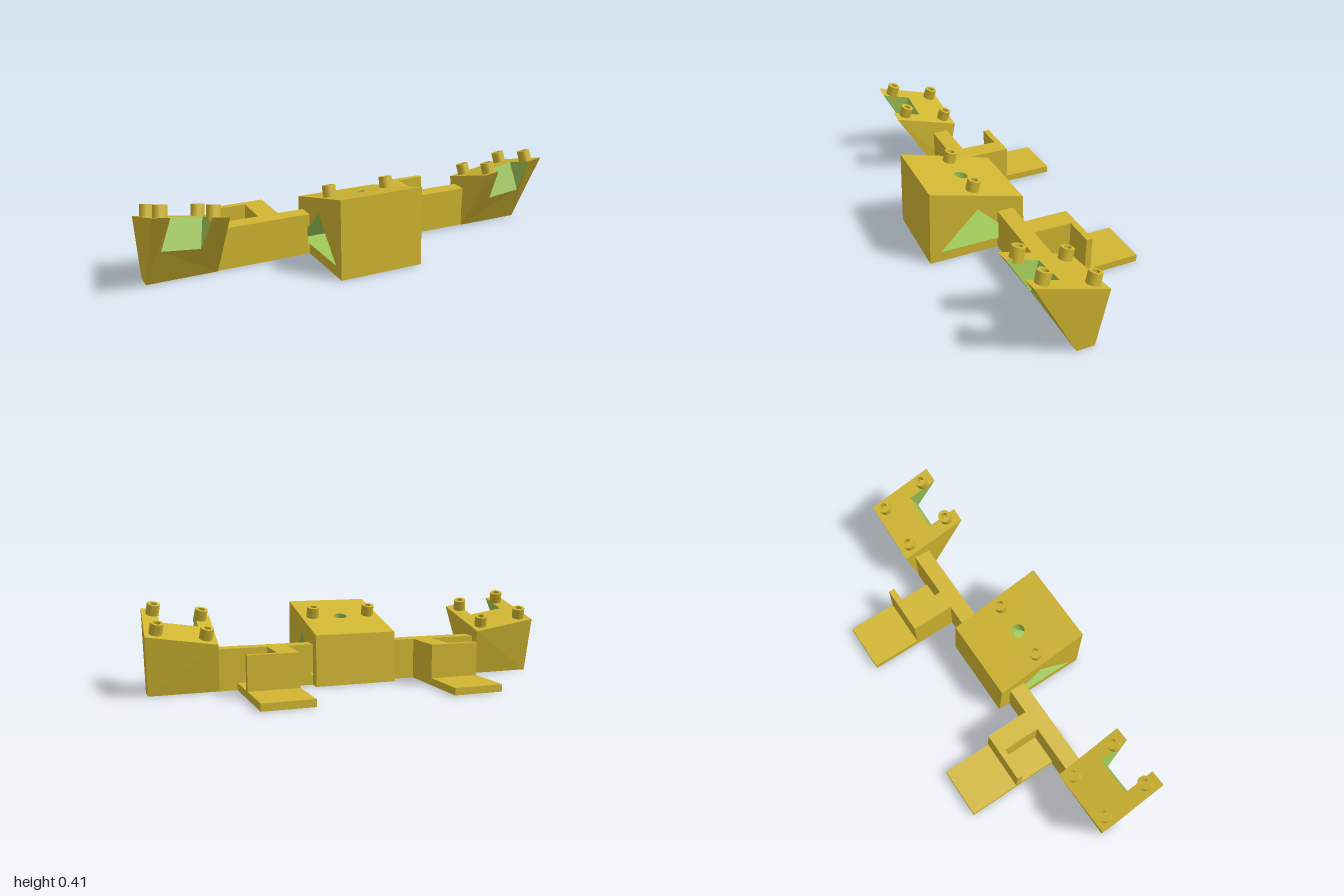
import * as THREE from 'three';
import { toCreasedNormals } from 'three/addons/utils/BufferGeometryUtils.js';

const gold = new THREE.MeshStandardMaterial({ color: 0xd1b631, side: THREE.DoubleSide });
gold.name = 'gold';
const green = new THREE.MeshStandardMaterial({ color: 0xa1cb5a, side: THREE.DoubleSide });
green.name = 'cut green';

const V = (x, y, z) => new THREE.Vector3(x, y, z);
const S = Math.sin(Math.PI / 12), C = Math.cos(Math.PI / 12); // 15 degree slope
const W = 0.205; // half width of the centre block

function mesh(name, geometry, material) {
  const m = new THREE.Mesh(geometry, material);
  m.name = name;
  return m;
}

function box(name, x0, x1, y0, y1, z0, z1) {
  const m = mesh(name, new THREE.BoxGeometry(x1 - x0, y1 - y0, z1 - z0), gold);
  m.position.set((x0 + x1) / 2, (y0 + y1) / 2, (z0 + z1) / 2);
  return m;
}

// flat outline [[a, b], ...] with optional holes
function outline(points, holes = []) {
  const shape = new THREE.Shape(points.map(([a, b]) => new THREE.Vector2(a, b)));
  shape.holes.push(...holes);
  return shape;
}
const rect = (w, b0, b1) => [[-w, b0], [w, b0], [w, b1], [-w, b1]];
const circle = (a, b, r) => new THREE.Path().absarc(a, b, r, 0, Math.PI * 2, true);

// place a flat shape in space along the directions u and v
function panel(name, shape, material, origin, u, v) {
  const g = new THREE.ShapeGeometry(shape, 16);
  const basis = new THREE.Matrix4().makeBasis(u, v, u.clone().cross(v)).setPosition(origin);
  return mesh(name, g.applyMatrix4(basis), material);
}

// flat-shaded faces from corner loops
function faces(name, loops, material) {
  const pos = [];
  for (const l of loops)
    for (let i = 1; i < l.length - 1; i++)
      for (const p of [l[0], l[i], l[i + 1]]) pos.push(p.x, p.y, p.z);
  const g = new THREE.BufferGeometry();
  g.setAttribute('position', new THREE.Float32BufferAttribute(pos, 3));
  g.computeVertexNormals();
  return mesh(name, g, material);
}

// hollow locating peg standing along a normal
function peg(base, normal) {
  const profile = [[0.031, -0.015], [0.031, 0.053], [0.017, 0.053], [0.017, 0.003], [0, 0.003]];
  const g = new THREE.LatheGeometry(profile.map(([r, y]) => new THREE.Vector2(r, y)), 24);
  const m = mesh('peg', toCreasedNormals(g, 0.7), gold);
  m.position.copy(base);
  m.quaternion.setFromUnitVectors(V(0, 1, 0), normal);
  return m;
}

function centreBlock() {
  const g = new THREE.Group();
  g.name = 'centreBlock';
  const X = V(1, 0, 0), Xm = V(-1, 0, 0), Y = V(0, 1, 0), Z = V(0, 0, 1);

  // outer skin: sides with a triangular tunnel opening
  const profile = [[0.443, 0], [0.43, 0.373], [-0.03, 0.25], [-0.04, 0]];
  const tri = [[0.387, 0.05], [0.2, 0.238], [0.012, 0.05]];
  const side = outline(profile, [new THREE.Path(tri.map(([a, b]) => new THREE.Vector2(a, b)))]);
  g.add(panel('blockSide', side, gold, V(-W, 0, 0), Z, Y));
  g.add(panel('blockSide', side, gold, V(W, 0, 0), Z, Y));
  const q = (i, x) => V(x, profile[i][1], profile[i][0]);
  g.add(faces('blockEnds', [
    [q(0, -W), q(0, W), q(1, W), q(1, -W)],
    [q(3, W), q(3, -W), q(2, -W), q(2, W)]], gold));

  // sloping top with the bore opening
  const slope = V(0, S, C), topBack = V(0, 0.25, -0.03), r = 0.033, bs = 0.238;
  const up = V(0, C, -S);
  g.add(panel('blockTop', outline(rect(W, 0, 0.46 / C), [circle(0, bs, r)]), gold, topBack, Xm, slope));
  for (const x of [-0.148, 0.148]) g.add(peg(topBack.clone().addScaledVector(slope, 0.243).setX(x), up));

  // bottom and tunnel floor with four screw holes
  const screws = [];
  for (const x of [-0.047, 0.047]) for (const z of [0.035, 0.365]) screws.push([x, z]);
  const holes = () => screws.map(([x, z]) => circle(x, z, 0.013));
  g.add(panel('blockBottom', outline(rect(W, -0.04, 0.443), holes()), gold, V(0, 0, 0), X, Z));
  g.add(panel('tunnelFloor', outline(rect(W, 0.012, 0.387), holes()), green, V(0, 0.05, 0), Xm, Z));
  for (const [x, z] of screws) {
    const t = mesh('screwHole', new THREE.CylinderGeometry(0.013, 0.013, 0.05, 16, 1, true), green);
    t.position.set(x, 0.025, z);
    g.add(t);
  }

  // bore drilled square to the top until it meets the tunnel roof
  const N = 32;
  const drill = (a) => {
    const top = topBack.clone().addScaledVector(slope, bs + r * Math.sin(a)).setX(r * Math.cos(a));
    const t1 = (top.y + top.z - 0.438) / (C - S), t2 = (top.y - top.z - 0.038) / (C + S);
    return { top, end: top.clone().addScaledVector(up, -Math.max(t1, t2)), front: t1 >= t2 };
  };
  const ring = (start) => Array.from({ length: N + 1 }, (_, i) => drill(start + (i / N) * Math.PI * 2));
  const bore = ring(0);
  g.add(faces('bore', bore.slice(1).map((b, i) => [bore[i].top, b.top, b.end, bore[i].end]), green));

  // tunnel roof, two slopes notched by the bore
  const k = Math.SQRT2, L = 0.188 * k;
  for (const sgn of [1, -1]) {
    const notch = ring(-sgn * Math.PI / 2).filter((p) => p.front === (sgn > 0))
      .map((p) => [p.end.x, Math.max(0, sgn * (p.end.z - 0.2) * k)]);
    if (sgn < 0) notch.reverse();
    const roof = outline([[W, 0], ...notch, [-W, 0], [-W, L], [W, L]]);
    g.add(panel('tunnelRoof', roof, green, V(0, 0.238, 0.2), sgn > 0 ? X : Xm, V(0, -1 / k, sgn / k)));
  }
  return g;
}

function bracket() {
  const g = new THREE.Group();
  g.name = 'bracket';
  // tilted top plane
  const top = (x, z) => V(x, 0.378 + (x - 0.985) * 0.152 + (z - 0.302) * 0.306, z);
  const normal = V(-0.152, 1, -0.306).normalize();
  // corners: b = bottom, i/o = inner/outer, f/r = front/rear
  const bir = V(0.665, 0, 0.02), bor = V(0.992, 0, 0.02);
  const bof = V(0.992, 0, 0.105), bif = V(0.665, 0, 0.105);
  const ir = top(0.673, -0.03), or = top(1, -0.028), of = top(0.985, 0.302), inf = top(0.657, 0.302);
  // notch: rear and front corners on top, lower corners on the front face
  const nri = top(0.735, 0.155), nro = top(0.915, 0.155), nfi = top(0.728, 0.302), nfo = top(0.908, 0.302);
  const nbi = V(0.762, 0.165, 0.2), nbo = V(0.935, 0.185, 0.203);
  g.add(faces('bracketBody', [
    [inf, nfi, nri, ir], [nri, nro, or, ir], [nfo, of, or, nro],
    [bif, nbi, nfi, inf], [bif, bof, nbo, nbi], [bof, of, nfo, nbo],
    [bof, bor, or, of], [bir, bif, inf, ir], [bor, bir, ir, or], [bir, bor, bof, bif]], gold));
  g.add(faces('bracketNotch', [[nbi, nbo, nro, nri], [nfi, nbi, nri], [nfo, nro, nbo]], green));
  for (const [x, z] of [[0.948, 0.025], [0.722, 0.025], [0.938, 0.245], [0.712, 0.245]])
    g.add(peg(top(x, z), normal));
  return g;
}

// one half: wing, foot and end bracket
function half() {
  const g = new THREE.Group();
  g.name = 'sideArm';
  g.add(box('wing', 0.215, 0.68, 0, 0.2, 0.02, 0.1));
  // wing root, cut by the end of the tunnel
  g.add(box('wingRootBase', W, 0.215, 0, 0.05, 0.02, 0.1));
  const a = [[0.06, 0.02], [0.14, 0.1], [0.2, 0.1], [0.2, 0.02]];
  const at = (i, x) => V(x, a[i][0], a[i][1]);
  const strip = (i, j) => [at(i, W), at(i, 0.215), at(j, 0.215), at(j, W)];
  g.add(faces('wingRootTop', [strip(1, 2), strip(2, 3), strip(3, 0)], gold));
  g.add(faces('wingRootCut', [strip(0, 1)], green));
  // foot with an L-shaped wall
  g.add(box('footPlate', 0.332, 0.578, 0, 0.035, -0.443, 0.02));
  g.add(box('footWall', 0.332, 0.432, 0.035, 0.2, -0.195, 0.02));
  g.add(box('footBackWall', 0.432, 0.578, 0.035, 0.2, -0.195, -0.165));
  g.add(bracket());
  return g;
}

export function createModel() {
  const model = new THREE.Group();
  model.name = 'mount';
  model.add(centreBlock());
  const left = half(), right = half();
  right.scale.x = -1;
  model.add(left, right);
  return model;
}
